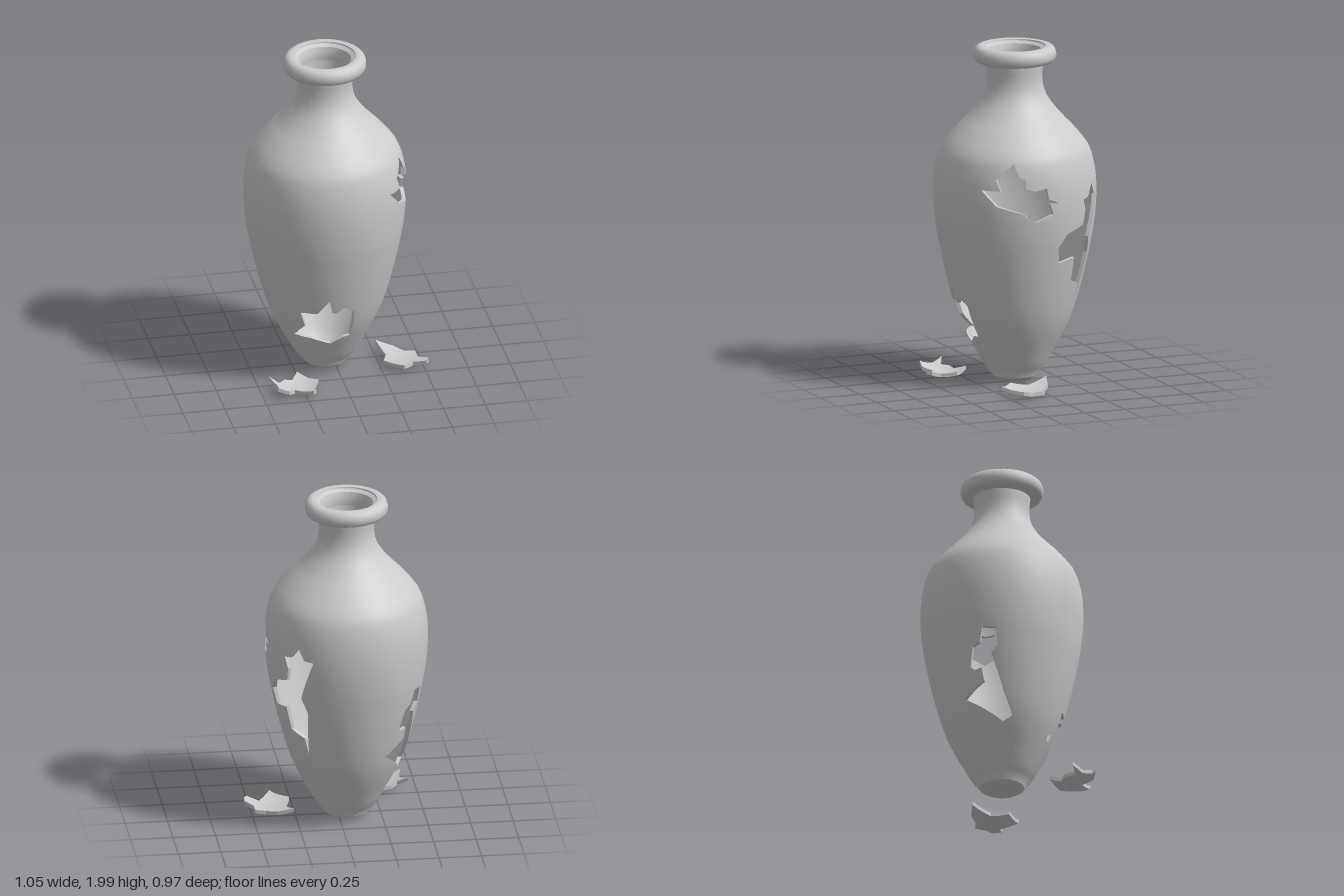
import * as THREE from 'three';
import { toCreasedNormals } from 'three/addons/utils/BufferGeometryUtils.js';

const SEGMENTS = 30, WALL = 0.022, DEG = Math.PI / 180;
const BODY_BOTTOM = 0.04, BODY_TOP = 1.9;

// Body radius by height
const heights = [0.04, 0.1, 0.2, 0.3, 0.4, 0.5, 0.6, 0.7, 0.8, 0.9, 1, 1.1, 1.2, 1.3, 1.4, 1.5, 1.6, 1.7, 1.77, 1.84, 1.9];
const radii = [0.132, 0.178, 0.235, 0.288, 0.332, 0.365, 0.392, 0.416, 0.437, 0.456, 0.469, 0.476, 0.475, 0.463, 0.432, 0.355, 0.26, 0.187, 0.164, 0.161, 0.168];
const spline = new THREE.CubicInterpolant(heights, radii, 1);
const radiusAt = (y) => spline.evaluate(THREE.MathUtils.clamp(y, BODY_BOTTOM, BODY_TOP))[0];

const points = (list) => list.map(([a, b]) => new THREE.Vector2(a, b));

// Outline seen from a compass direction, turned into (angle, height)
const breakOutline = (direction, list) => points(list.map(([s, y]) =>
  [direction * DEG + Math.asin(s / radiusAt(y)), y]));

// Cut a convex polygon in two along u = c or v = c
function split(poly, axis, c) {
  const low = [], high = [];
  poly.forEach((p, i) => {
    const q = poly[(i + 1) % poly.length];
    const a = p[axis] - c, b = q[axis] - c;
    if (a <= 0) low.push(p);
    if (a >= 0) high.push(p);
    if (a * b < 0) {
      const m = p.clone().lerp(q, a / (a - b));
      m[axis] = c;
      low.push(m);
      high.push(m);
    }
  });
  return [low, high].filter((l) => l.length > 2);
}

// Thick curved sheet with holes; map(u, v, depth) gives the surface
function sheet(contour, holes, uLines, vLines, map) {
  const position = [], normal = [];
  const push = (p, n) => { position.push(p.x, p.y, p.z); normal.push(n.x, n.y, n.z); };
  const normalAt = ({ x, y }, depth) => {
    const e = 1e-3;
    const du = map(x + e, y, depth).sub(map(x - e, y, depth));
    const dv = map(x, y + e, depth).sub(map(x, y - e, depth));
    return du.cross(dv).normalize();
  };
  if (THREE.ShapeUtils.isClockWise(contour)) contour.reverse();
  holes.forEach((h) => { if (!THREE.ShapeUtils.isClockWise(h)) h.reverse(); });

  // Both faces, sliced along the grid lines
  const all = [contour, ...holes].flat();
  let polys = THREE.ShapeUtils.triangulateShape(contour, holes).map((f) => {
    const tri = f.map((i) => all[i]);
    return THREE.ShapeUtils.isClockWise(tri) ? tri.reverse() : tri;
  });
  uLines.forEach((c) => { polys = polys.flatMap((p) => split(p, 'x', c)); });
  vLines.forEach((c) => { polys = polys.flatMap((p) => split(p, 'y', c)); });
  for (const poly of polys) {
    for (let i = 1; i < poly.length - 1; i++) {
      const tri = [poly[0], poly[i], poly[i + 1]];
      tri.forEach((p) => push(map(p.x, p.y, 0), normalAt(p, 0)));
      tri.reverse().forEach((p) => push(map(p.x, p.y, WALL), normalAt(p, WALL).negate()));
    }
  }

  // Broken edges joining the two faces
  for (const loop of holes.length ? holes : [contour]) {
    loop.forEach((start, i) => {
      const end = loop[(i + 1) % loop.length], steps = 5;
      for (let k = 0; k < steps; k++) {
        const p = start.clone().lerp(end, k / steps), q = start.clone().lerp(end, (k + 1) / steps);
        const [a, b, c, d] = [map(p.x, p.y, WALL), map(q.x, q.y, WALL), map(q.x, q.y, 0), map(p.x, p.y, 0)];
        const n = b.clone().sub(a).cross(d.clone().sub(a)).normalize();
        [a, b, c, a, c, d].forEach((v) => push(v, n));
      }
    });
  }
  const geometry = new THREE.BufferGeometry();
  geometry.setAttribute('position', new THREE.Float32BufferAttribute(position, 3));
  geometry.setAttribute('normal', new THREE.Float32BufferAttribute(normal, 3));
  return geometry;
}

const range = (from, to, n) => Array.from({ length: n - 1 }, (_, i) => from + (to - from) * (i + 1) / n);

export function createModel() {
  const group = new THREE.Group();
  const material = new THREE.MeshStandardMaterial({ color: 0xcccccc });
  const add = (parent, name, geometry) => {
    const mesh = new THREE.Mesh(geometry, material);
    mesh.name = name;
    parent.add(mesh);
  };
  const lathe = (list) => toCreasedNormals(new THREE.LatheGeometry(points(list), SEGMENTS), 40 * DEG);

  const vase = new THREE.Group();
  vase.name = 'vase';
  vase.position.set(-0.05, 0, -0.007);
  group.add(vase);

  // Four jagged breaks in the wall
  const sideBreak = breakOutline(90, [[-0.18, 1.383], [-0.28, 1.288], [-0.26, 1.22], [-0.35, 1.224],
    [-0.28, 1.13], [-0.15, 1.09], [-0.07, 1.033], [0.04, 1.076], [0.02, 1.14], [0.09, 1.134],
    [0.01, 1.17], [0, 1.235], [-0.07, 1.22], [-0.13, 1.235], [-0.125, 1.288], [-0.16, 1.304]]);
  const frontBreak = breakOutline(0, [[-0.05, 0.583], [-0.03, 0.5], [-0.005, 0.49], [0.04, 0.53],
    [0.105, 0.49], [0.095, 0.3], [0.055, 0.297], [-0.02, 0.25], [-0.13, 0.29], [-0.22, 0.297],
    [-0.175, 0.387], [-0.205, 0.487], [-0.115, 0.49]]);
  const backBreak = breakOutline(138, [[-0.01, 1.21], [0.03, 1.14], [0.09, 1.135], [-0.005, 0.89],
    [0.03, 0.79], [-0.01, 0.5], [-0.02, 0.61], [-0.12, 0.645], [-0.14, 0.79], [-0.245, 0.77],
    [-0.27, 0.865], [-0.23, 0.94], [-0.105, 0.98], [-0.09, 1.06], [-0.115, 1.13], [-0.065, 1.14]]);
  const farBreak = breakOutline(-145, [[0.22, 0.87], [0.15, 0.88], [0.125, 0.79], [0.08, 0.77],
    [0.05, 0.65], [0.075, 0.63], [0.117, 0.64], [0.12, 0.565], [-0.02, 0.48], [0.175, 0.33],
    [0.23, 0.37], [0.215, 0.5], [0.2, 0.62], [0.18, 0.72], [0.22, 0.77]]);

  // Hollow body
  const bodyMap = (u, y, depth) => {
    const r = radiusAt(y) - depth;
    return new THREE.Vector3(r * Math.sin(u), y, r * Math.cos(u));
  };
  const outline = points([[-Math.PI, BODY_BOTTOM], [Math.PI, BODY_BOTTOM], [Math.PI, BODY_TOP], [-Math.PI, BODY_TOP]]);
  add(vase, 'body', sheet(outline, [sideBreak, frontBreak, backBreak, farBreak],
    range(-Math.PI, Math.PI, SEGMENTS), range(BODY_BOTTOM, BODY_TOP, 38), bodyMap));

  // Rolled rim, foot and inner floor
  add(vase, 'rim', lathe([[0.166, 1.895], [0.21, 1.9], [0.231, 1.91], [0.242, 1.93], [0.243, 1.955],
    [0.235, 1.98], [0.22, 1.994], [0.2, 2], [0.18, 1.996], [0.178, 1.988], [0.155, 1.975],
    [0.146, 1.95], [0.142, 1.92], [0.145, 1.895]]));
  add(vase, 'foot', lathe([[0, 0.02], [0.085, 0.02], [0.108, 0.026], [0.132, 0.04]]));
  add(vase, 'innerFloor', lathe([[0.112, 0.04], [0.08, 0.04], [0, 0.04]]));

  // Broken pieces on the ground, curved like shallow bowls
  const shard = (name, [cx, cz], bend, list) => {
    const map = (x, v, depth) => new THREE.Vector3(x,
      0.01 + WALL - depth + bend * ((x - cx) ** 2 + (-v - cz) ** 2), -v);
    const lines = (c) => range(c - 0.24, c + 0.24, 12);
    add(group, name, sheet(points(list.map(([x, z]) => [x, -z])), [], lines(cx), lines(-cz), map));
  };
  shard('rightShard', [-0.27, 0.35], 1.7, [[-0.446, 0.285], [-0.41, 0.36], [-0.41, 0.42], [-0.42, 0.437],
    [-0.353, 0.45], [-0.31, 0.395], [-0.25, 0.455], [-0.215, 0.483], [-0.195, 0.455], [-0.2, 0.4],
    [-0.155, 0.315], [-0.2, 0.28], [-0.26, 0.21], [-0.3, 0.27], [-0.35, 0.275], [-0.39, 0.32]]);
  shard('leftShard', [0.41, 0.09], 1.1, [[0.265, -0.07], [0.36, -0.04], [0.42, 0.015], [0.48, 0.03],
    [0.48, 0.105], [0.528, 0.15], [0.528, 0.185], [0.51, 0.21], [0.44, 0.17], [0.37, 0.26],
    [0.345, 0.23], [0.265, 0.16], [0.3, 0.06]]);

  return group;
}
